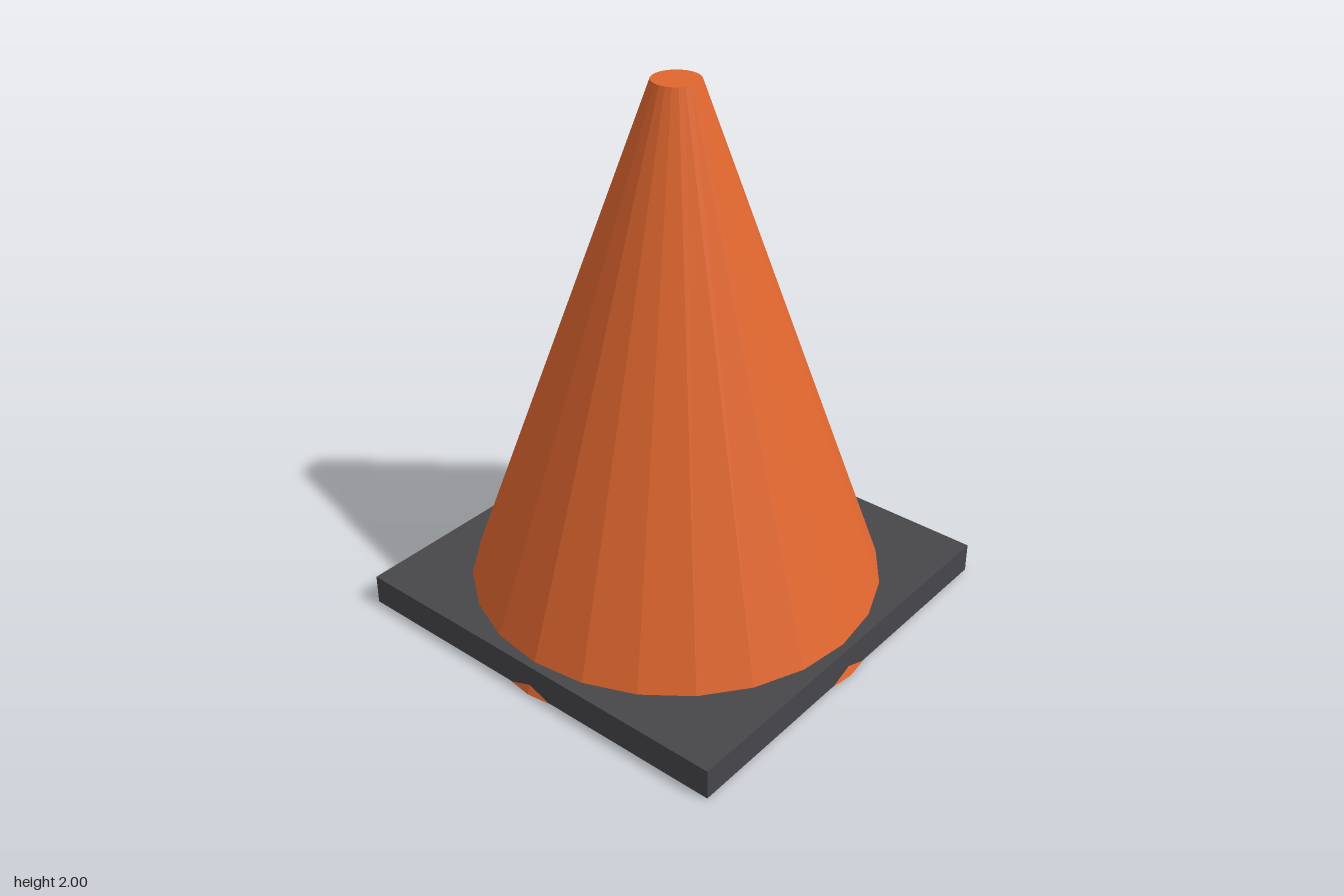
import * as THREE from 'three';

export function createModel() {
  const orange = new THREE.MeshStandardMaterial({ color: 0xe0662f });
  orange.name = 'orange';
  orange.flatShading = true;
  const darkGrey = new THREE.MeshStandardMaterial({ color: 0x47474b });
  darkGrey.name = 'darkGrey';

  const model = new THREE.Group();
  model.name = 'trafficCone';

  // Faceted cone body, running down through the base to the ground
  const cone = new THREE.Mesh(new THREE.CylinderGeometry(0.085, 0.797, 2, 24), orange);
  cone.name = 'coneBody';
  cone.position.y = 1;

  // Square base slab, its underside a hair above the cone's bottom disc
  const bottom = 0.002, top = 0.115;
  const base = new THREE.Mesh(new THREE.BoxGeometry(1.57, top - bottom, 1.57), darkGrey);
  base.name = 'base';
  base.position.y = (top + bottom) / 2;

  model.add(cone, base);
  return model;
}
